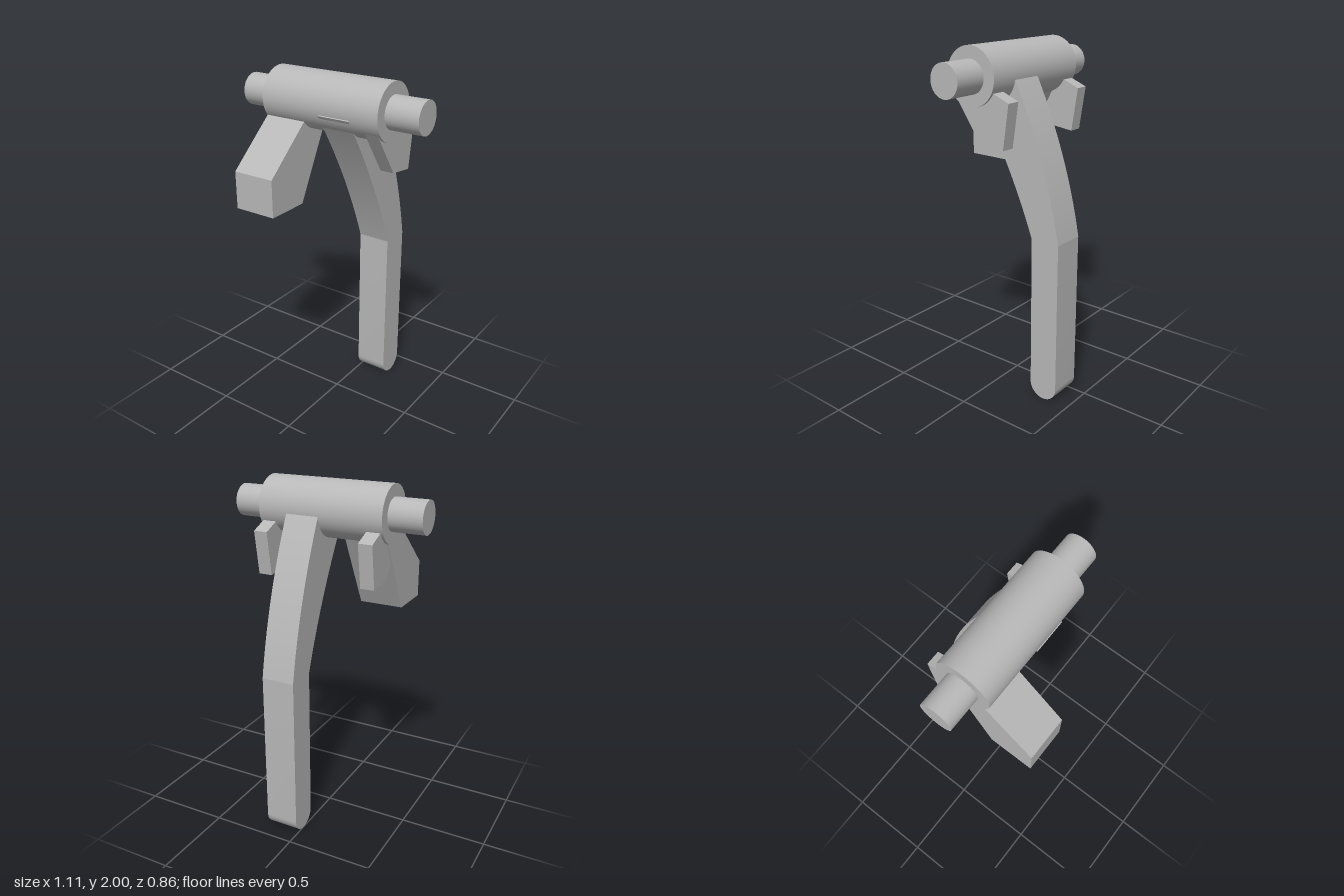
import * as THREE from 'three';
import { toCreasedNormals } from 'three/addons/utils/BufferGeometryUtils.js';

const AXIS_Y = 1.841, AXIS_Z = 0.02;

export function createModel() {
  const model = new THREE.Group();
  model.name = 'pivotLever';
  const grey = new THREE.MeshStandardMaterial({ color: 0xb8b8b8 });
  grey.name = 'plain grey';

  const add = (name, geometry) => {
    const mesh = new THREE.Mesh(geometry, grey);
    mesh.name = name;
    model.add(mesh);
  };

  // Cylinder lying along x on the pivot axis
  const rod = (name, radius, x0, x1) => {
    const g = new THREE.CylinderGeometry(radius, radius, x1 - x0, 64);
    g.rotateZ(Math.PI / 2).translate((x0 + x1) / 2, AXIS_Y, AXIS_Z);
    add(name, g);
  };

  // Side profile in (z, y), extruded across x
  const plate = (name, shape, x0, x1) => {
    const g = new THREE.ExtrudeGeometry(shape, { depth: x1 - x0, bevelEnabled: false, curveSegments: 28 });
    g.rotateY(-Math.PI / 2).translate(x1, 0, 0);
    add(name, toCreasedNormals(g, 0.15));
  };
  const polygon = (points) => new THREE.Shape(points.map(([z, y]) => new THREE.Vector2(z, y)));

  // Pivot sleeve and the stub shafts at its ends
  rod('sleeve', 0.158, -0.366, 0.364);
  rod('leftStub', 0.091, 0.36, 0.557);
  rod('rightStub', 0.091, -0.557, -0.36);

  // Curved lever arm with a straight, round-ended lower half
  const arm = new THREE.Shape();
  arm.moveTo(-0.25, 0.97);
  arm.quadraticCurveTo(-0.095, 1.4, 0.178, 1.8);
  arm.lineTo(0.1, 1.86);
  arm.lineTo(-0.131, 1.83);
  arm.quadraticCurveTo(-0.345, 1.41, -0.425, 0.97);
  arm.lineTo(-0.425, 0.0875);
  arm.absarc(-0.3375, 0.0875, 0.0875, Math.PI, Math.PI * 2, false);
  arm.closePath();
  plate('leverArm', arm, 0, 0.193);

  // Wide counterweight foot reaching forward
  plate('counterweight', polygon([
    [0.43, 1.497], [0.43, 1.285], [0.175, 1.285], [-0.07, 1.755], [-0.094, 1.95],
  ]), -0.364, -0.113);

  // Matching pair of small stop lugs at the back
  const lug = polygon([
    [0.145, 1.745], [-0.022, 1.5], [-0.18, 1.48], [-0.217, 1.727], [-0.1, 1.775], [0.02, 1.84],
  ]);
  plate('leftLug', lug, 0.269, 0.349);
  plate('rightLug', lug, -0.352, -0.272);

  return model;
}
